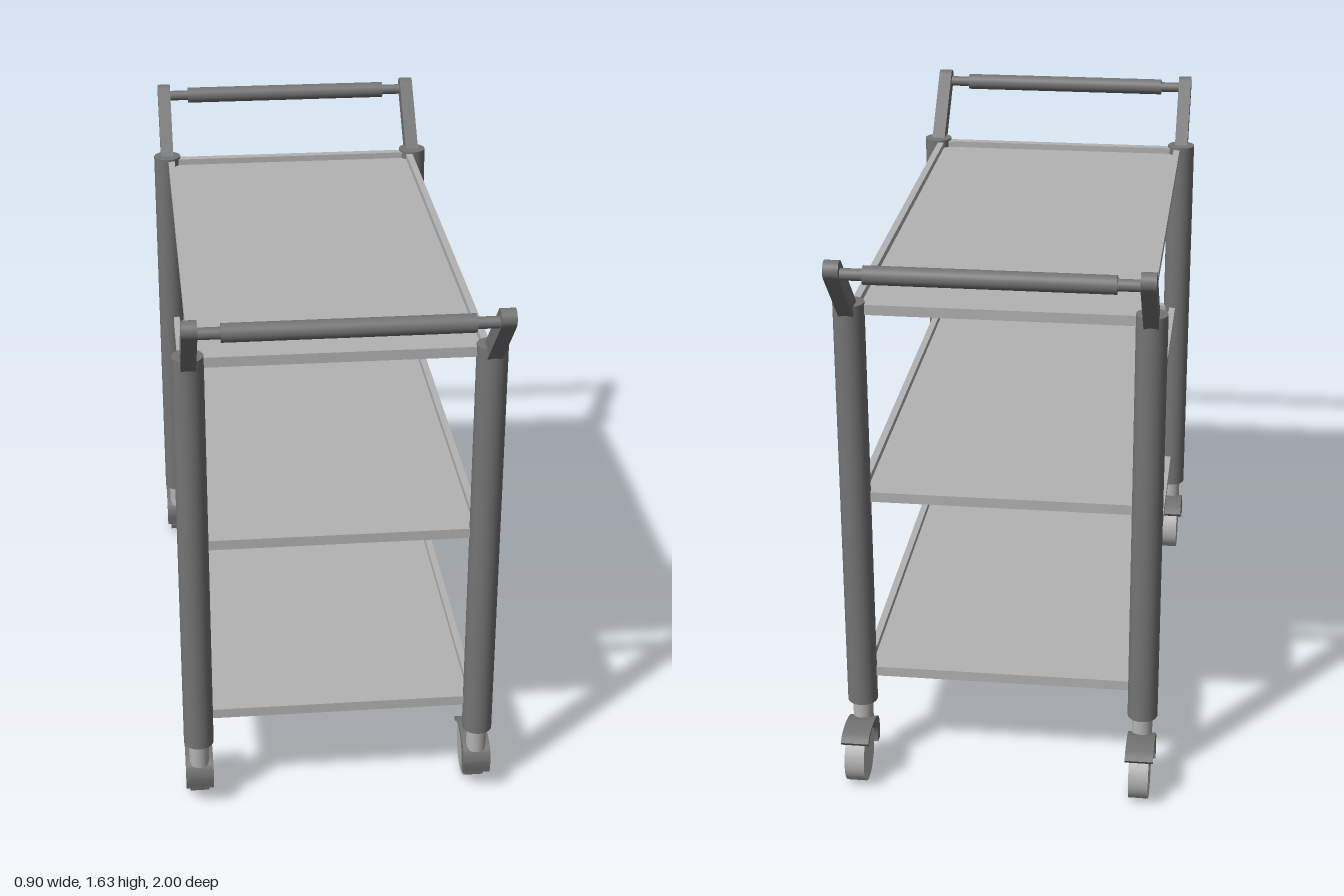
import * as THREE from 'three';

const lightGrey = new THREE.MeshStandardMaterial({ color: 0xb3b3b3 });
lightGrey.name = 'lightGrey';
const darkGrey = new THREE.MeshStandardMaterial({ color: 0x747474 });
darkGrey.name = 'darkGrey';

const POST_X = 0.407, POST_Z = 0.786;

function add(parent, name, geometry, material, x = 0, y = 0, z = 0) {
  const mesh = new THREE.Mesh(geometry, material);
  mesh.name = name;
  mesh.position.set(x, y, z);
  parent.add(mesh);
  return mesh;
}

// Extrudes a side profile drawn in (z, y) across x, centred on x = 0
function sideExtrude(shape, width) {
  const g = new THREE.ExtrudeGeometry(shape, { depth: width, bevelEnabled: false, curveSegments: 16 });
  return g.translate(0, 0, -width / 2).rotateY(-Math.PI / 2);
}

const xCylinder = (r, length) => new THREE.CylinderGeometry(r, r, length, 32).rotateZ(Math.PI / 2);

// Shallow tray: thin floor with a raised rim
function makeTray(name, bottom) {
  const tray = new THREE.Group();
  tray.name = name;
  tray.position.y = bottom;
  const hx = 0.404, hz = 0.79, h = 0.029, rx = 0.02, rz = 0.027;
  add(tray, 'trayFloor', new THREE.BoxGeometry(2 * (hx - rx), 0.01, 2 * (hz - rz)), lightGrey, 0, 0.005, 0);
  for (const s of [-1, 1]) {
    add(tray, 'sideRim', new THREE.BoxGeometry(rx, h, 2 * hz), lightGrey, s * (hx - rx / 2), h / 2, 0);
    add(tray, 'endRim', new THREE.BoxGeometry(2 * (hx - rx), h, rz), lightGrey, 0, h / 2, s * (hz - rz / 2));
  }
  return tray;
}

// Swivel caster: stem, wheel trailing towards the back, curved hood
function makeCaster() {
  const caster = new THREE.Group();
  caster.name = 'caster';
  const wz = -0.08, wy = 0.081;
  add(caster, 'casterStem', new THREE.CylinderGeometry(0.029, 0.029, 0.09, 24), lightGrey, 0, 0.185, 0);
  add(caster, 'wheel', xCylinder(0.081, 0.056), lightGrey, 0, wy, wz);
  const hood = new THREE.Shape();
  hood.moveTo(0.107, -0.014);
  hood.splineThru([[0.112, 0.03], [0.095, 0.065], [0.05, 0.083], [0, 0.088], [-0.04, 0.083], [-0.066, 0.068]]
    .map(([z, y]) => new THREE.Vector2(z, y)));
  hood.absarc(0, 0, 0.0815, 2.36, -0.17, true);
  add(caster, 'wheelHood', sideExtrude(hood, 0.08), darkGrey, 0, wy, wz);
  return caster;
}

// Push handle: two slanted arms with rounded tips and a gripped bar
function makeHandle() {
  const handle = new THREE.Group();
  handle.name = 'handle';
  const r = 0.026, length = 0.25;
  const arm = new THREE.Shape();
  arm.moveTo(-length, -r);
  arm.lineTo(0, -r);
  arm.absarc(0, 0, r, -Math.PI / 2, Math.PI / 2, false);
  arm.lineTo(-length, r);
  arm.closePath();
  const armGeometry = sideExtrude(arm, 0.041).rotateX(-Math.PI / 4);
  for (const s of [-1, 1]) add(handle, 'handleArm', armGeometry, darkGrey, s * POST_X, 1.602, 0.974);
  add(handle, 'handleRod', xCylinder(0.016, 2 * POST_X), darkGrey, 0, 1.591, 0.972);
  add(handle, 'handleGrip', xCylinder(0.025, 0.654), darkGrey, 0, 1.591, 0.972);
  return handle;
}

export function createModel() {
  const cart = new THREE.Group();
  cart.name = 'servingCart';

  cart.add(makeTray('bottomTray', 0.294), makeTray('middleTray', 0.853), makeTray('topTray', 1.41));

  // Corner posts, each on a caster
  const postGeometry = new THREE.CylinderGeometry(0.043, 0.043, 1.23, 32);
  for (const sx of [-1, 1]) {
    for (const sz of [-1, 1]) {
      add(cart, 'cornerPost', postGeometry, darkGrey, sx * POST_X, 0.83, sz * POST_Z);
      const caster = makeCaster();
      caster.position.set(sx * POST_X, 0, sz * POST_Z);
      cart.add(caster);
    }
  }

  // Handles at both ends
  const front = makeHandle();
  front.name = 'frontHandle';
  const back = makeHandle();
  back.name = 'backHandle';
  back.rotation.y = Math.PI;
  cart.add(front, back);

  return cart;
}
